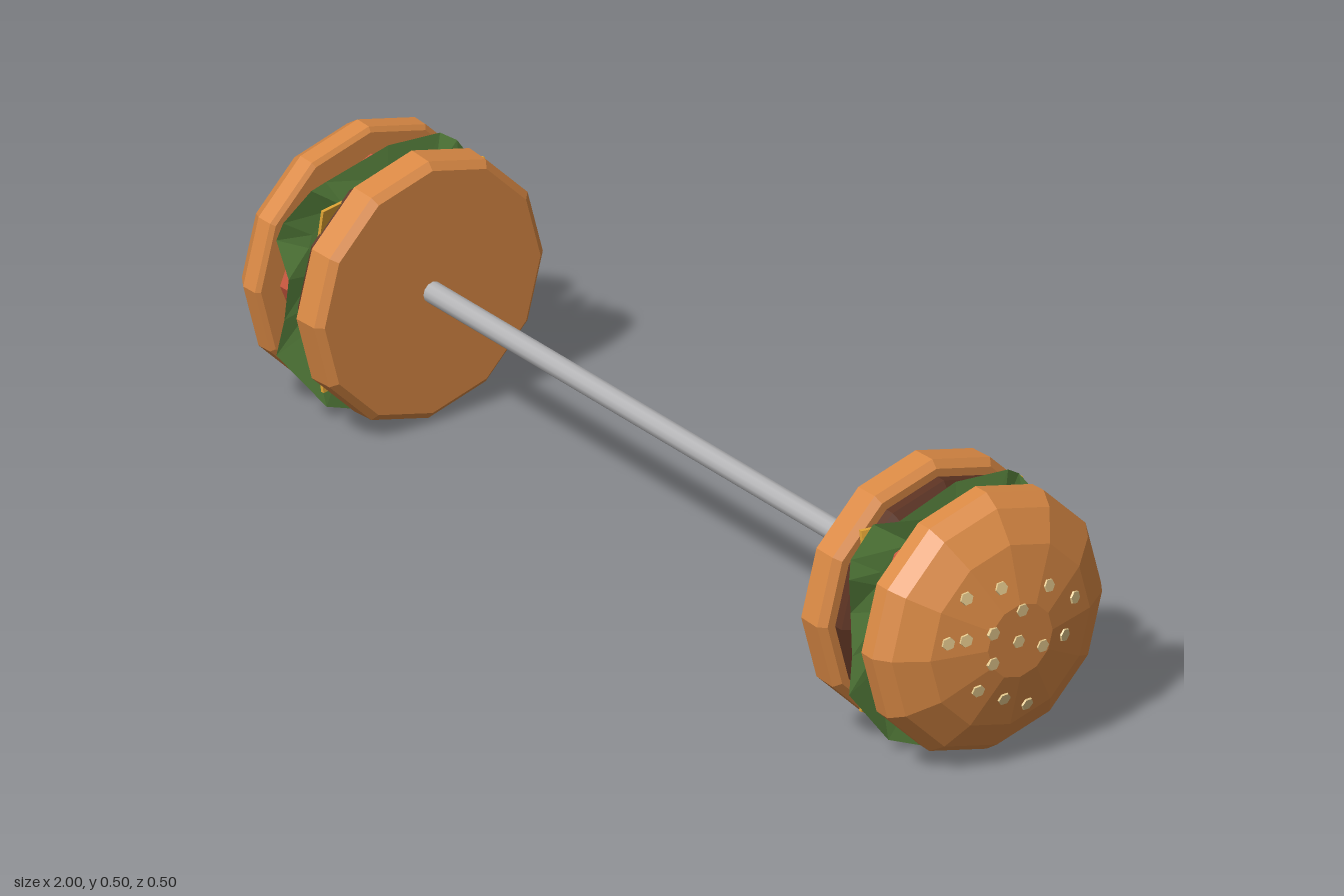
import * as THREE from 'three';

const AXIS_Y = 0.257; // height of the bar

function mat(name, color, extra = {}) {
  const m = new THREE.MeshStandardMaterial({ color, ...extra });
  m.name = name;
  return m;
}

// Solid of revolution about x; profile points are [x, radius] from low to high x
function turned(profile, sides) {
  const g = new THREE.LatheGeometry(profile.map(([x, r]) => new THREE.Vector2(r, x)), sides);
  return g.rotateZ(-Math.PI / 2);
}

// Faceted copy, optionally mirrored across x with corner order restored
function faceted(geometry, mirror) {
  const g = geometry.index ? geometry.toNonIndexed() : geometry.clone();
  if (mirror) {
    const p = g.attributes.position;
    const a = new THREE.Vector3(), b = new THREE.Vector3();
    for (let i = 0; i < p.count; i++) p.setX(i, -p.getX(i));
    for (let i = 0; i < p.count; i += 3) {
      a.fromBufferAttribute(p, i + 1);
      b.fromBufferAttribute(p, i + 2);
      p.setXYZ(i + 1, b.x, b.y, b.z);
      p.setXYZ(i + 2, a.x, a.y, a.z);
    }
  }
  g.computeVertexNormals();
  return g;
}

const DOME = [[0.862, 0], [0.862, 0.238], [0.868, 0.247], [0.9, 0.248], [0.93, 0.228],
  [0.968, 0.173], [0.997, 0.07], [0.997, 0]];

// Ragged leaf: outline as [z, y], filled by two rings around a centre
function lettuceGeometry() {
  const rim = [[0.0, 0.49], [0.13, 0.455], [0.173, 0.457], [0.228, 0.408], [0.237, 0.375], [0.222, 0.3],
    [0.225, 0.22], [0.237, 0.152], [0.14, 0.03], [0.075, 0.003], [0.03, 0.015], [-0.08, 0.027],
    [-0.132, 0.027], [-0.22, 0.11], [-0.25, 0.19], [-0.235, 0.27], [-0.227, 0.345], [-0.143, 0.46],
    [-0.113, 0.48]];
  const n = rim.length;
  const pos = [0.814, 0, 0];
  for (const s of [0.72, 1]) {
    rim.forEach(([z, y], i) => {
      const wave = s === 1 ? 0.009 * Math.sin(i * 2.1) : 0;
      pos.push(0.814 - (s === 1 ? 0.002 : 0) + wave, (y - AXIS_Y) * s, z * s);
    });
  }
  const index = [];
  for (let i = 0; i < n; i++) {
    const a = 1 + i, b = 1 + (i + 1) % n;
    index.push(0, b, a, a, b, b + n, a, b + n, a + n);
  }
  const g = new THREE.BufferGeometry();
  g.setAttribute('position', new THREE.Float32BufferAttribute(pos, 3));
  g.setIndex(index);
  return g;
}

// Square slice whose corners droop over the patty
function cheeseGeometry() {
  const g = new THREE.BoxGeometry(0.007, 0.35, 0.35, 1, 6, 6);
  const p = g.attributes.position;
  for (let i = 0; i < p.count; i++) {
    const r = Math.hypot(p.getY(i), p.getZ(i));
    p.setX(i, p.getX(i) + 0.796 - Math.max(0, r - 0.16) * 0.3);
  }
  return g;
}

// Hexagonal seed lying on the dome at [z, y]
function seedGeometry([z, y]) {
  const dy = y - AXIS_Y;
  const r = Math.hypot(dy, z);
  const q = r * 1.015;
  let x = 0.997, slope = 0;
  for (let i = 4; i < DOME.length - 1; i++) {
    const [x0, r0] = DOME[i], [x1, r1] = DOME[i + 1];
    if (q <= r0 && q > r1) {
      x = x0 + (x1 - x0) * (r0 - q) / (r0 - r1);
      slope = (x1 - x0) / (r0 - r1);
    }
  }
  const k = r > 0.001 ? slope / r : 0;
  const normal = new THREE.Vector3(1, dy * k, z * k).normalize();
  const g = new THREE.CylinderGeometry(0.012, 0.0135, 0.008, 6);
  g.applyQuaternion(new THREE.Quaternion().setFromUnitVectors(new THREE.Vector3(0, 1, 0), normal));
  return g.translate(x - 0.001, dy, z);
}

export function createModel() {
  const model = new THREE.Group();
  model.name = 'burgerBarbell';
  const flat = { flatShading: true };
  const bun = mat('bun', 0xdb8a45, flat);
  const patty = mat('patty', 0x5c3322, flat);
  const cheese = mat('cheese', 0xe3a535, flat);
  const lettuce = mat('lettuce', 0x629145, { flatShading: true, side: THREE.DoubleSide });
  const tomato = mat('tomato', 0xc8573e, flat);
  const seed = mat('seed', 0xe3c88c, flat);
  const steel = mat('steel', 0xb4b4b6);

  // Bar
  const bar = new THREE.Mesh(new THREE.CylinderGeometry(0.02, 0.02, 1.4, 12).rotateZ(Math.PI / 2), steel);
  bar.name = 'bar';
  bar.position.y = AXIS_Y;
  model.add(bar);

  // Burger layers, from the bar outwards
  const layers = [
    ['bottomBun', turned([[0.685, 0], [0.685, 0.234], [0.697, 0.248], [0.745, 0.25], [0.757, 0.236], [0.757, 0]], 12), bun],
    ['patty', turned([[0.752, 0], [0.752, 0.208], [0.76, 0.222], [0.778, 0.222], [0.79, 0.205], [0.79, 0]], 12), patty],
    ['cheese', cheeseGeometry(), cheese],
    ['lettuce', lettuceGeometry(), lettuce],
    ['tomato', turned([[0.82, 0], [0.82, 0.197], [0.865, 0.197], [0.865, 0]], 8), tomato],
    ['topBun', turned(DOME, 12), bun],
  ];
  const seeds = [[0.1, 0.36], [0.032, 0.363], [-0.07, 0.338], [-0.004, 0.315], [0.14, 0.285], [0.108, 0.285],
    [0.058, 0.288], [-0.132, 0.293], [0.004, 0.257], [0.059, 0.23], [-0.048, 0.233], [-0.103, 0.233],
    [0.082, 0.18], [0.026, 0.148], [-0.03, 0.118]];
  seeds.forEach((s, i) => layers.push([`seed${i + 1}`, seedGeometry(s), seed]));

  for (const mirror of [false, true]) {
    const burger = new THREE.Group();
    burger.name = mirror ? 'rightBurger' : 'leftBurger';
    burger.position.y = AXIS_Y;
    for (const [name, geometry, material] of layers) {
      const mesh = new THREE.Mesh(faceted(geometry, mirror), material);
      mesh.name = name;
      burger.add(mesh);
    }
    model.add(burger);
  }
  return model;
}
